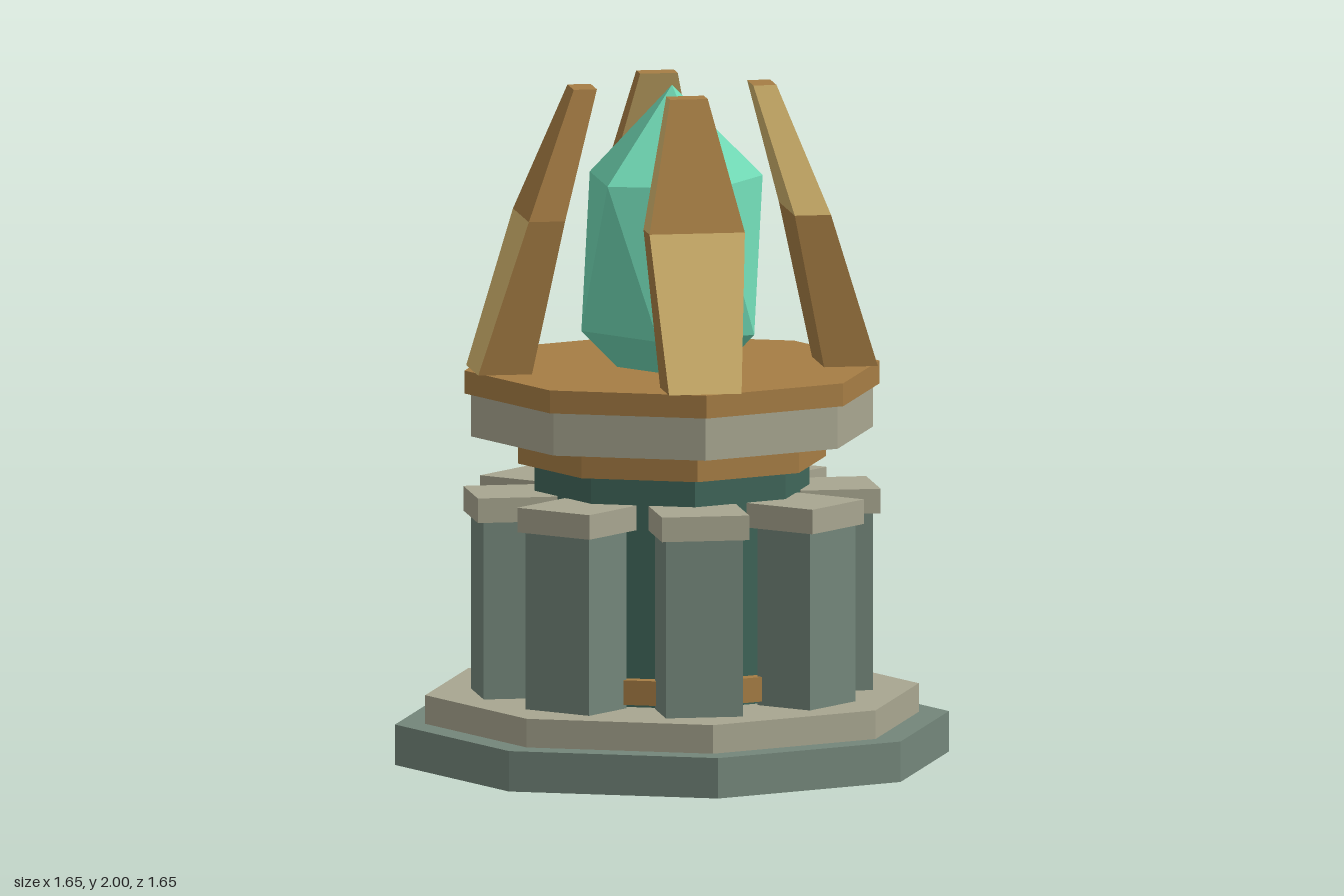
import * as THREE from 'three';
import { ConvexGeometry } from 'three/addons/geometries/ConvexGeometry.js';

const mat = (name, color) => {
  const m = new THREE.MeshStandardMaterial({ color });
  m.name = name;
  return m;
};

export function createModel() {
  const mossStone = mat('mossStone', 0x73867a);
  const paleStone = mat('paleStone', 0xa8a690);
  const darkTeal = mat('darkTeal', 0x40665a);
  const bronze = mat('bronze', 0xa67d44);
  const gold = mat('gold', 0xd4b56e);
  const jade = mat('jade', 0x70d8b4);

  const model = new THREE.Group();
  const add = (name, geometry, material, parent = model) => {
    // unshared flat normals keep every facet crisp
    const geo = geometry.index ? geometry.toNonIndexed() : geometry;
    geo.computeVertexNormals();
    const mesh = new THREE.Mesh(geo, material);
    mesh.name = name;
    parent.add(mesh);
    return mesh;
  };

  // Octagonal tiers: name, radius, bottom, top, colour
  const tiers = [
    ['basePlinth', 0.825, 0, 0.12, mossStone],
    ['baseStep', 0.735, 0.12, 0.205, paleStone],
    ['core', 0.41, 0.205, 0.886, darkTeal],
    ['lowerBand', 0.455, 0.217, 0.29, bronze],
    ['upperBand', 0.458, 0.886, 0.955, bronze],
    ['floatingSlab', 0.598, 0.97, 1.098, paleStone],
    ['slabRim', 0.618, 1.098, 1.166, bronze],
  ];
  for (const [name, r, y0, y1, material] of tiers) {
    add(name, new THREE.CylinderGeometry(r, r, y1 - y0, 8), material)
      .position.y = (y0 + y1) / 2;
  }

  // Eight capped pillars around the core
  for (let i = 0; i < 8; i++) {
    const pillar = new THREE.Group();
    pillar.name = 'pillar' + (i + 1);
    pillar.rotation.y = i * Math.PI / 4;
    add('pillarShaft', new THREE.BoxGeometry(0.23, 0.53, 0.19), mossStone, pillar)
      .position.set(0, 0.468, 0.485);
    add('pillarCap', new THREE.BoxGeometry(0.26, 0.073, 0.238), paleStone, pillar)
      .position.set(0, 0.768, 0.481);
    model.add(pillar);
  }

  // Claw: three rectangular sections (y, half width, inner z, outer z)
  const sections = [
    [1.166, 0.108, 0.435, 0.595],
    [1.623, 0.142, 0.342, 0.45],
    [2.0, 0.056, 0.233, 0.302],
  ].map(([y, w, zi, zo]) => [[-w, y, zo], [w, y, zo], [w, y, zi], [-w, y, zi]]);
  const bronzeQuads = [], goldQuads = [];
  for (let s = 0; s < 2; s++) {
    const lo = sections[s], hi = sections[s + 1];
    for (let k = 0; k < 4; k++) {
      const n = (k + 1) % 4;
      const isGold = s === 0 ? k === 0 : k >= 2;
      (isGold ? goldQuads : bronzeQuads).push([lo[k], lo[n], hi[n], hi[k]]);
    }
  }
  bronzeQuads.push(sections[2], [...sections[0]].reverse());
  const quadGeometry = (quads) => {
    const points = quads.flatMap(([a, b, c, d]) => [a, b, c, a, c, d]).flat();
    const geo = new THREE.BufferGeometry();
    geo.setAttribute('position', new THREE.Float32BufferAttribute(points, 3));
    return geo;
  };
  for (let i = 0; i < 4; i++) {
    const claw = new THREE.Group();
    claw.name = 'claw' + (i + 1);
    claw.rotation.y = i * Math.PI / 2;
    add('clawBody', quadGeometry(bronzeQuads), bronze, claw);
    add('clawFacets', quadGeometry(goldQuads), gold, claw);
    model.add(claw);
  }

  // Crystal: two twisted five-point rings between two tips
  const tips = [new THREE.Vector3(0, 2, 0), new THREE.Vector3(0, 1, 0)];
  for (let i = 0; i < 5; i++) {
    const a = i * Math.PI * 2 / 5, b = a + Math.PI / 5;
    tips.push(new THREE.Vector3(0.27 * Math.cos(a), 1.725, 0.27 * Math.sin(a)));
    tips.push(new THREE.Vector3(0.27 * Math.cos(b), 1.275, 0.27 * Math.sin(b)));
  }
  add('crystal', new ConvexGeometry(tips), jade);

  return model;
}
